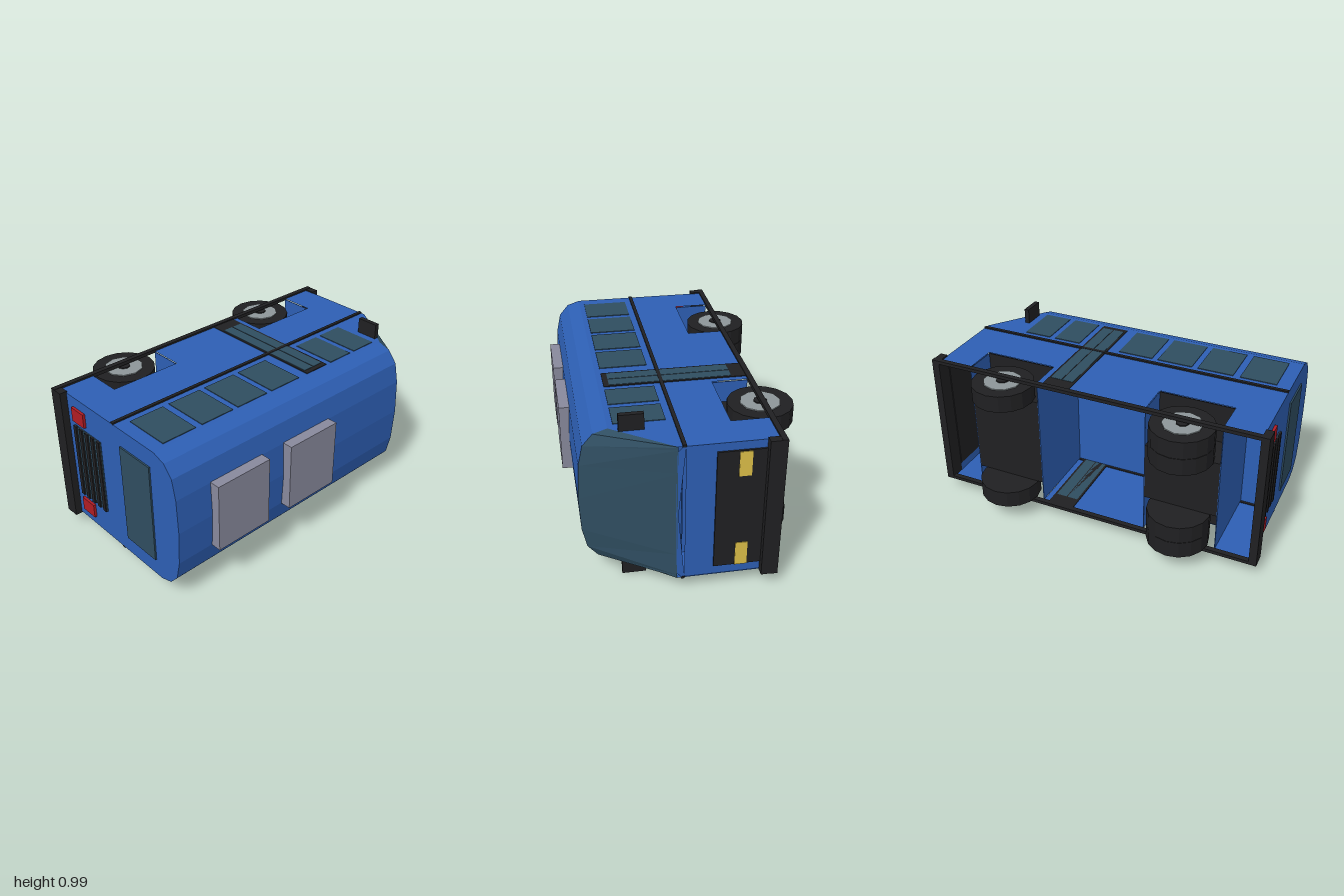
import * as THREE from 'three';

const paint = (color) => new THREE.MeshStandardMaterial({ color, flatShading: true, side: THREE.DoubleSide });

export function createModel() {
  const model = new THREE.Group();
  model.name = 'bus';
  const blue = paint(0x2d5fb4), black = paint(0x202022), glass = paint(0x2f4d60);
  const grey = paint(0x88899c), yellow = paint(0xdcbf48), red = paint(0xb01c24), steel = paint(0x8d9699);

  // The bus lies on its side: length on x, width on y (centred here), height on z
  const bus = new THREE.Group();
  bus.name = 'vehicle';
  bus.position.y = 0.495;
  model.add(bus);

  const add = (name, geometry, material) => {
    const mesh = new THREE.Mesh(geometry, material);
    mesh.name = name;
    bus.add(mesh);
    return mesh;
  };
  const box = (name, mat, x0, x1, y0, y1, z0, z1) => {
    const mesh = add(name, new THREE.BoxGeometry(x1 - x0, Math.abs(y1 - y0), z1 - z0), mat);
    mesh.position.set((x0 + x1) / 2, (y0 + y1) / 2, (z0 + z1) / 2);
    return mesh;
  };
  // Ruled surface between two rows of points
  const strip = (name, mat, a, b) => {
    const v = [];
    for (let i = 0; i < a.length - 1; i++) {
      v.push(...a[i], ...b[i], ...a[i + 1], ...a[i + 1], ...b[i], ...b[i + 1]);
    }
    const g = new THREE.BufferGeometry();
    g.setAttribute('position', new THREE.Float32BufferAttribute(v, 3));
    g.computeVertexNormals();
    return add(name, g, mat);
  };

  // Roof profile, with the matching windscreen foot positions
  const half = [[0.405, 0.4, 0.405], [0.38, 0.475, 0.4], [0.315, 0.53, 0.385], [0.2, 0.555, 0.25], [0, 0.565, 0]];
  const profile = [...half, ...half.slice(0, -1).reverse().map(([y, z, f]) => [-y, z, -f])];
  const at = (x) => profile.map(([y, z]) => [x, y, z]);
  const W = 0.405, back = -0.96, front = 0.955, floorZ = -0.43;

  // Shell
  strip('roof', blue, at(back), at(0.73));
  strip('windscreen', glass, at(0.73), profile.map(([, , f]) => [0.96, f, 0.085]));
  strip('rearWall', blue, profile.map(([y]) => [back, y, floorZ]), at(back));
  strip('frontWall', blue, [[front, W, 0.045], [front, -W, 0.045]], [[front, W, floorZ], [front, -W, floorZ]]);
  strip('windscreenSill', blue,
    [[0.958, W, 0.06], [0.958, 0.37, 0.09], [0.958, 0, 0.092], [0.958, -0.37, 0.09], [0.958, -W, 0.06]],
    [[0.958, W, 0.045], [0.958, 0.37, 0.048], [0.958, 0, 0.08], [0.958, -0.37, 0.048], [0.958, -W, 0.045]]);

  const wells = [[-0.75, -0.32], [0.33, 0.76]];
  for (const s of [1, -1]) {
    // Side wall with square wheel openings
    const side = new THREE.Shape([[back, floorZ], [wells[0][0], floorZ], [wells[0][0], -0.22], [wells[0][1], -0.22],
      [wells[0][1], floorZ], [wells[1][0], floorZ], [wells[1][0], -0.22], [wells[1][1], -0.22], [wells[1][1], floorZ],
      [0.96, floorZ], [0.96, 0.085], [0.73, 0.4], [back, 0.4]].map(([x, y]) => new THREE.Vector2(x, y)));
    const wall = add('sideWall', new THREE.ShapeGeometry(side).rotateX(Math.PI / 2), blue);
    wall.position.y = s * W;

    // Side trim
    box('skirtRail', black, -1, 1, s * 0.395, s * 0.415, -0.45, -0.42);
    box('beltLine', black, back, 0.96, s * 0.4, s * 0.413, 0.043, 0.063);

    // Windows
    for (const [x, w] of [[-0.88, 0.21], [-0.63, 0.21], [-0.385, 0.21], [-0.14, 0.21], [0.33, 0.165], [0.53, 0.165]]) {
      box('sideWindow', glass, x, x + w, s * 0.4, s * 0.409, 0.1, 0.37);
    }

    // Double door
    box('doorFrame', black, 0.135, 0.295, s * 0.4, s * 0.409, -0.42, 0.37);
    for (const x of [0.147, 0.218]) box('doorPane', glass, x, x + 0.065, s * 0.4, s * 0.411, -0.34, 0.34);

    // Mirror and lamps
    box('mirror', black, 0.742, 0.77, s * 0.4, s * 0.495, 0.22, 0.35);
    box('headlamp', yellow, 0.955, 0.969, s * 0.207, s * 0.35, -0.285, -0.22);
    box('tailLamp', red, -0.975, -0.955, s * 0.26, s * 0.345, -0.31, -0.2);

    // Wheels: single in front, twin behind
    for (const [x, y] of [[0.54, 0.325], [-0.535, 0.325], [-0.535, 0.223]]) {
      const tyre = add('tyre', new THREE.CylinderGeometry(0.178, 0.178, 0.1, 16), black);
      tyre.position.set(x, s * y, -0.435);
      if (y < 0.3) continue;
      const rim = add('rim', new THREE.CylinderGeometry(0.11, 0.11, 0.01, 10), steel);
      rim.position.set(x, s * 0.376, -0.435);
      const hub = add('hub', new THREE.CylinderGeometry(0.037, 0.037, 0.012, 8), black);
      hub.position.set(x, s * 0.381, -0.435);
    }
  }

  // Wheel housings, partitions and floor
  wells.forEach(([a, b], i) => {
    const y = i ? 0.275 : 0.173;
    box('wheelHousing', black, a + 0.002, b - 0.002, -y, y, -0.22, -0.42);
    for (const x of [a, b]) box('partition', blue, x - 0.002, x + 0.002, -0.4, 0.4, -0.42, 0.06);
    box('wheelArchTop', black, a, b, -0.4, 0.4, -0.222, -0.216);
  });
  box('floor', blue, -0.955, 0.95, -0.4, 0.4, 0.058, 0.064);

  // Front and rear fittings
  box('frontGrille', black, 0.95, 0.965, -0.35, 0.355, -0.36, -0.108);
  box('frontBumper', black, 0.955, 1, -0.413, 0.413, -0.45, -0.36);
  box('rearBumper', black, -1, -0.955, -0.413, 0.413, -0.45, -0.365);
  box('rearWindow', glass, -0.969, -0.955, -0.3, 0.3, 0.115, 0.36);
  box('rearGrille', glass, -0.966, -0.955, -0.23, 0.23, -0.31, -0.07);
  for (let i = 0; i < 5; i++) {
    const z = -0.31 + i * 0.053;
    box('grilleBar', black, -0.975, -0.955, -0.23, 0.23, z, z + 0.026);
  }

  // Roof units
  for (const x of [-0.74, -0.23]) box('roofUnit', grey, x, x + 0.353, -0.203, 0.203, 0.54, 0.615);
  return model;
}
